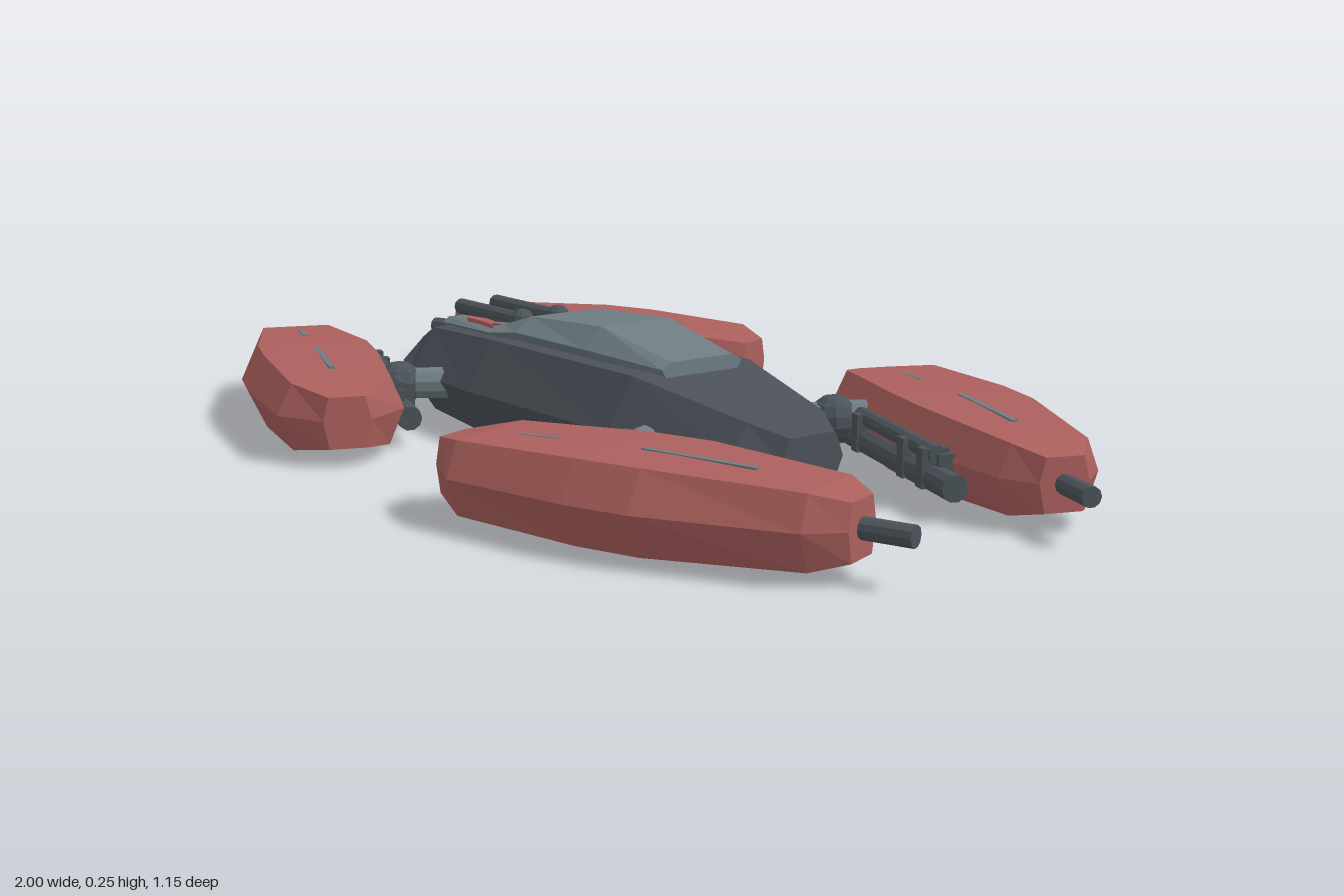
import * as THREE from 'three';

const mat = (name, color) => {
  const m = new THREE.MeshStandardMaterial({ color, flatShading: true });
  m.name = name;
  return m;
};

// Six-sided loft along x; section = [x, midHalfWidth, topHalfWidth, yTop, yMid, yBottom, bottomHalfWidth]
function loft(sections) {
  const rings = sections.map(([x, w, t, top, mid, bot, b = t]) => [
    [x, top, t], [x, mid, w], [x, bot, b], [x, bot, -b], [x, mid, -w], [x, top, -t]]);
  const pos = [];
  const tri = (...p) => p.forEach(v => pos.push(...v));
  for (let i = 0; i < rings.length - 1; i++) {
    for (let j = 0; j < 6; j++) {
      const k = (j + 1) % 6, r = rings[i], s = rings[i + 1];
      tri(r[j], r[k], s[k]);
      tri(r[j], s[k], s[j]);
    }
  }
  const first = rings[0], last = rings[rings.length - 1];
  for (let j = 1; j < 5; j++) {
    tri(last[0], last[j], last[j + 1]);
    tri(first[0], first[j + 1], first[j]);
  }
  const g = new THREE.BufferGeometry();
  g.setAttribute('position', new THREE.Float32BufferAttribute(pos, 3));
  g.computeVertexNormals();
  return g;
}

export function createModel() {
  const model = new THREE.Group();
  const hullMat = mat('hull charcoal', 0x4c5159);
  const cabinMat = mat('cabin grey', 0x6e7d83);
  const redMat = mat('armour red', 0xab605d);
  const metalMat = mat('gunmetal', 0x4b5359);

  const add = (parent, name, geo, material, x = 0, y = 0, z = 0) => {
    const m = new THREE.Mesh(geo, material);
    m.name = name;
    m.position.set(x, y, z);
    parent.add(m);
    return m;
  };
  // Cylinder between two points
  const rod = (parent, name, a, b, r, material, sides = 10) => {
    const p = new THREE.Vector3(...a), q = new THREE.Vector3(...b);
    const d = q.clone().sub(p);
    const m = add(parent, name, new THREE.CylinderGeometry(r, r, d.length(), sides), material);
    m.position.copy(p).add(q).multiplyScalar(0.5);
    m.quaternion.setFromUnitVectors(new THREE.Vector3(0, 1, 0), d.normalize());
    return m;
  };

  // Central hull
  add(model, 'hull', loft([
    [-0.61, 0.12, 0.07, 0.14, 0.095, 0.04],
    [-0.50, 0.17, 0.11, 0.18, 0.095, 0.008],
    [-0.23, 0.20, 0.14, 0.195, 0.10, 0],
    [0.22, 0.19, 0.135, 0.195, 0.10, 0],
    [0.48, 0.125, 0.085, 0.15, 0.09, 0.02],
    [0.55, 0.07, 0.05, 0.13, 0.085, 0.04],
  ]), hullMat);

  // Raised cabin with a low rear deck
  add(model, 'cabin', loft([
    [-0.52, 0.075, 0.06, 0.195, 0.185, 0.16],
    [-0.28, 0.115, 0.08, 0.213, 0.20, 0.175],
    [-0.18, 0.12, 0.082, 0.243, 0.215, 0.175],
    [0.05, 0.118, 0.08, 0.255, 0.215, 0.175],
    [0.25, 0.092, 0.07, 0.217, 0.205, 0.17],
  ]), cabinMat);

  for (const s of [-1, 1]) {
    // Deck gun
    const z = s * 0.043;
    rod(model, 'deckGunBarrel', [-0.50, 0.218, z], [-0.27, 0.218, z], 0.016, metalMat);
    add(model, 'deckGunPivot', new THREE.SphereGeometry(0.025, 10, 6), metalMat, -0.27, 0.218, z);
    add(model, 'deckGunMount', new THREE.BoxGeometry(0.14, 0.025, 0.03), metalMat, -0.37, 0.203, z);

    // Jagged red marking on the deck edge
    const flash = new THREE.Shape([[-0.42, 0.078], [-0.36, 0.068], [-0.28, 0.08], [-0.31, 0.088],
      [-0.29, 0.1], [-0.35, 0.092], [-0.39, 0.094]].map(([x, w]) => new THREE.Vector2(x, -s * w)));
    const plate = add(model, 'deckMarking',
      new THREE.ExtrudeGeometry(flash, { depth: 0.008, bevelEnabled: false }), redMat, 0, 0.205, 0);
    plate.rotation.x = -Math.PI / 2;
  }

  // Armoured pods with guns and swivel arms
  const podProfile = [[-0.39, 0.045, 0.048], [-0.31, 0.12, 0.063], [-0.06, 0.147, 0.07],
    [0.06, 0.146, 0.07], [0.33, 0.092, 0.06], [0.385, 0.045, 0.046]];
  for (const sx of [-1, 1]) {
    const sections = podProfile.map(([x, w, h]) => [sx * x, w, w * 0.76, 0.085 + h, 0.088, 0.083 - h]);
    if (sx < 0) sections.reverse();
    const shell = loft(sections);
    for (const sz of [-1, 1]) {
      const pod = new THREE.Group();
      pod.name = (sx > 0 ? 'left' : 'right') + (sz > 0 ? 'Front' : 'Back') + 'Pod';
      pod.position.set(sx * 0.55, 0, sz * 0.355);
      pod.rotation.y = 0.35 * sx * sz;
      model.add(pod);
      add(pod, 'podArmour', shell, redMat);

      // Pod gun
      rod(pod, 'podGunBarrel', [sx * 0.3, 0.085, 0], [sx * 0.473, 0.085, 0], 0.018, metalMat);
      if (sx < 0) {
        rod(pod, 'podGunCollar', [-0.375, 0.085, 0], [-0.402, 0.085, 0], 0.03, cabinMat, 8);
        for (let i = 0; i < 4; i++) {
          const a = Math.PI / 4 + i * Math.PI / 2;
          const c = Math.cos(a) * 0.028, d = Math.sin(a) * 0.028;
          rod(pod, 'podGunClaw', [-0.37, 0.085 + c, d], [-0.418, 0.085 + c, d], 0.007, cabinMat, 5);
        }
      }

      // Slits on the roof
      add(pod, 'longSlit', new THREE.BoxGeometry(0.21, 0.009, 0.011), cabinMat, 0.1, 0.151, 0)
        .rotation.z = sx > 0 ? -0.02 : 0;
      add(pod, 'shortSlit', new THREE.BoxGeometry(0.085, 0.009, 0.01), cabinMat, -0.21, 0.147, 0)
        .rotation.z = 0.035;

      // Tube rack along the inner side
      const zi = -sz * 0.138;
      rod(pod, 'sideTube', [-0.27, 0.058, zi], [0.27, 0.058, zi], 0.024, metalMat);
      rod(pod, 'upperTube', [-0.17, 0.1, zi], [0.2, 0.1, zi], 0.016, metalMat);
      add(pod, 'tubeRack', new THREE.BoxGeometry(0.42, 0.055, 0.05), metalMat, 0, 0.075, -sz * 0.115);
      for (const x of [-0.18, -0.1, 0.1, 0.18]) {
        add(pod, 'tubeClamp', new THREE.BoxGeometry(0.025, 0.07, 0.05), metalMat, x, 0.075, zi);
      }

      // Arm joining pod and hull
      const hx = sx > 0 ? 0.28 : -0.36, bx = sx > 0 ? 0.34 : -0.42;
      rod(model, 'swivelArm', [hx, 0.09, sz * 0.14], [bx, 0.09, sz * 0.235], 0.032, cabinMat);
      add(model, 'swivelBall', new THREE.SphereGeometry(0.046, 10, 7), metalMat, bx, 0.09, sz * 0.24);
      rod(model, 'podSocket', [bx, 0.09, sz * 0.24], [bx + sx * 0.04, 0.09, sz * 0.31], 0.034, cabinMat);
    }
  }
  return model;
}
